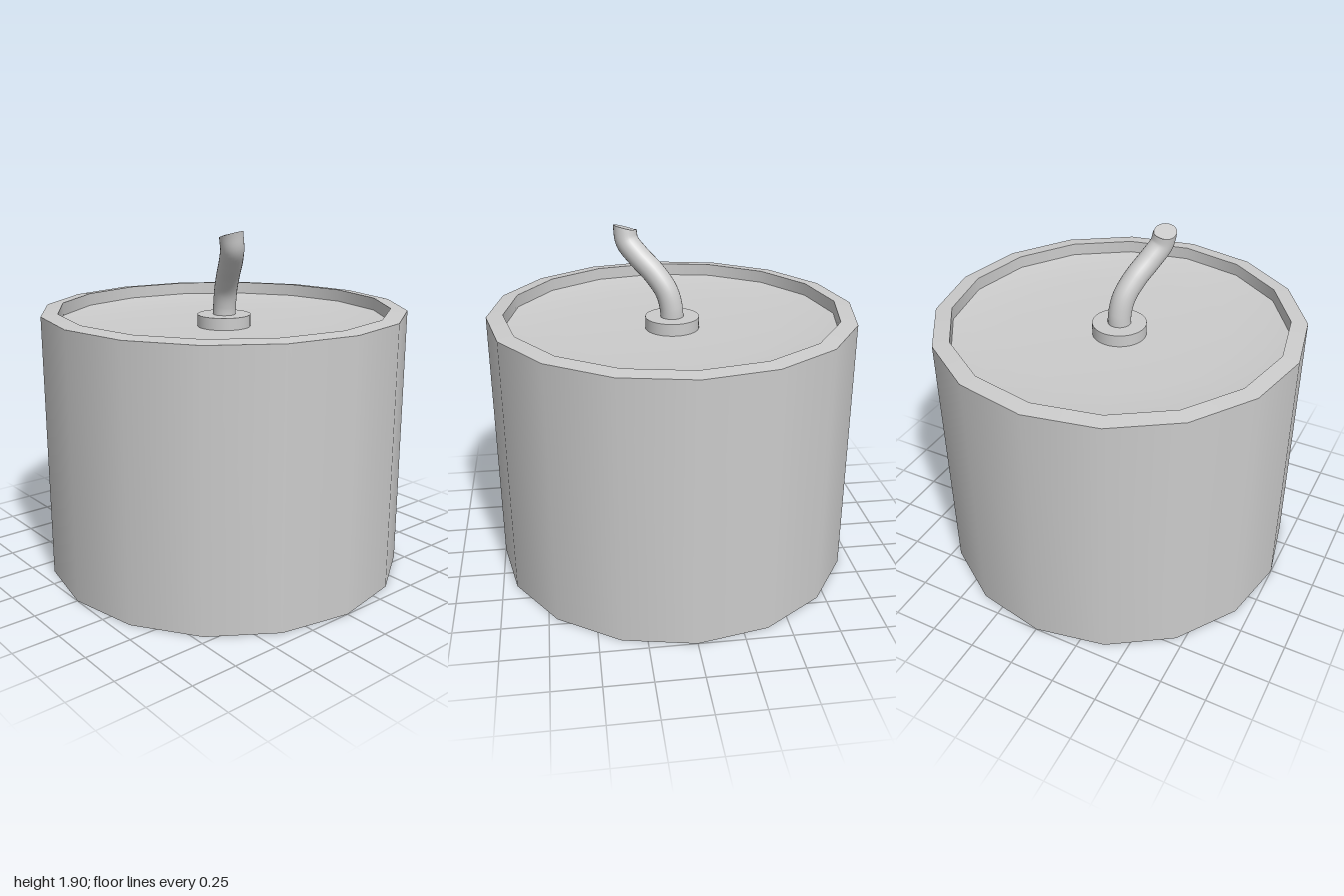
import * as THREE from 'three';

const material = new THREE.MeshStandardMaterial({ color: 0xcccccc });
const SIDES = 16;

function add(group, name, geometry) {
  const mesh = new THREE.Mesh(geometry, material);
  mesh.name = name;
  group.add(mesh);
  return mesh;
}

// Smooth band of revolution; separate bands keep a sharp edge between them
function band(group, name, profile, sides = SIDES) {
  const points = profile.map(([r, y]) => new THREE.Vector2(r, y));
  return add(group, name, new THREE.LatheGeometry(points, sides));
}

export function createModel() {
  const model = new THREE.Group();
  model.name = 'candle';

  // Sixteen-sided body with a raised rim and a shallow bowl on top
  const body = new THREE.Group();
  body.name = 'body';
  model.add(body);
  band(body, 'base', [[0, 0], [1, 0]]);
  band(body, 'outerWall', [[1, 0], [1, 1.455]]);
  band(body, 'rim', [[1, 1.455], [0.91, 1.465]]);
  band(body, 'innerWall', [[0.91, 1.465], [0.91, 1.395]]);
  band(body, 'waxSurface', [[0.91, 1.395], [0.8, 1.377], [0.6, 1.363], [0.3, 1.355], [0, 1.353]]);

  // Round collar holding the wick
  const collar = add(model, 'wickCollar', new THREE.CylinderGeometry(0.147, 0.147, 0.08, 40));
  collar.position.y = 1.38;

  // Bent wick, leaning to its left and forward
  const path = new THREE.CatmullRomCurve3([
    [0, 1.38, 0], [0.005, 1.47, 0], [0.03, 1.56, 0.012], [0.09, 1.65, 0.045],
    [0.175, 1.74, 0.095], [0.228, 1.81, 0.132], [0.238, 1.88, 0.148],
  ].map((p) => new THREE.Vector3(...p)));
  const radius = 0.063;
  const wick = new THREE.Group();
  wick.name = 'wick';
  model.add(wick);
  const tube = new THREE.TubeGeometry(path, 40, radius, 24);

  // Slant the cut end by sliding the last ring along y
  const pos = tube.attributes.position;
  const end = path.getPoint(1);
  const rim = [];
  for (let i = pos.count - 25; i < pos.count; i++) {
    const x = pos.getX(i), z = pos.getZ(i);
    pos.setY(i, end.y + 0.28 * (x - end.x) - 0.1 * (z - end.z));
    rim.push(new THREE.Vector3().fromBufferAttribute(pos, i));
  }
  add(wick, 'wickStem', tube);

  // Cap over the slanted end, fanned from its middle
  const corners = [];
  for (let i = 0; i < rim.length - 1; i++) {
    const a = rim[i], b = rim[i + 1];
    const up = (a.z - end.z) * (b.x - end.x) - (a.x - end.x) * (b.z - end.z) > 0;
    corners.push(end, up ? a : b, up ? b : a);
  }
  const cap = new THREE.BufferGeometry().setFromPoints(corners);
  cap.computeVertexNormals();
  add(wick, 'wickTip', cap);

  return model;
}
